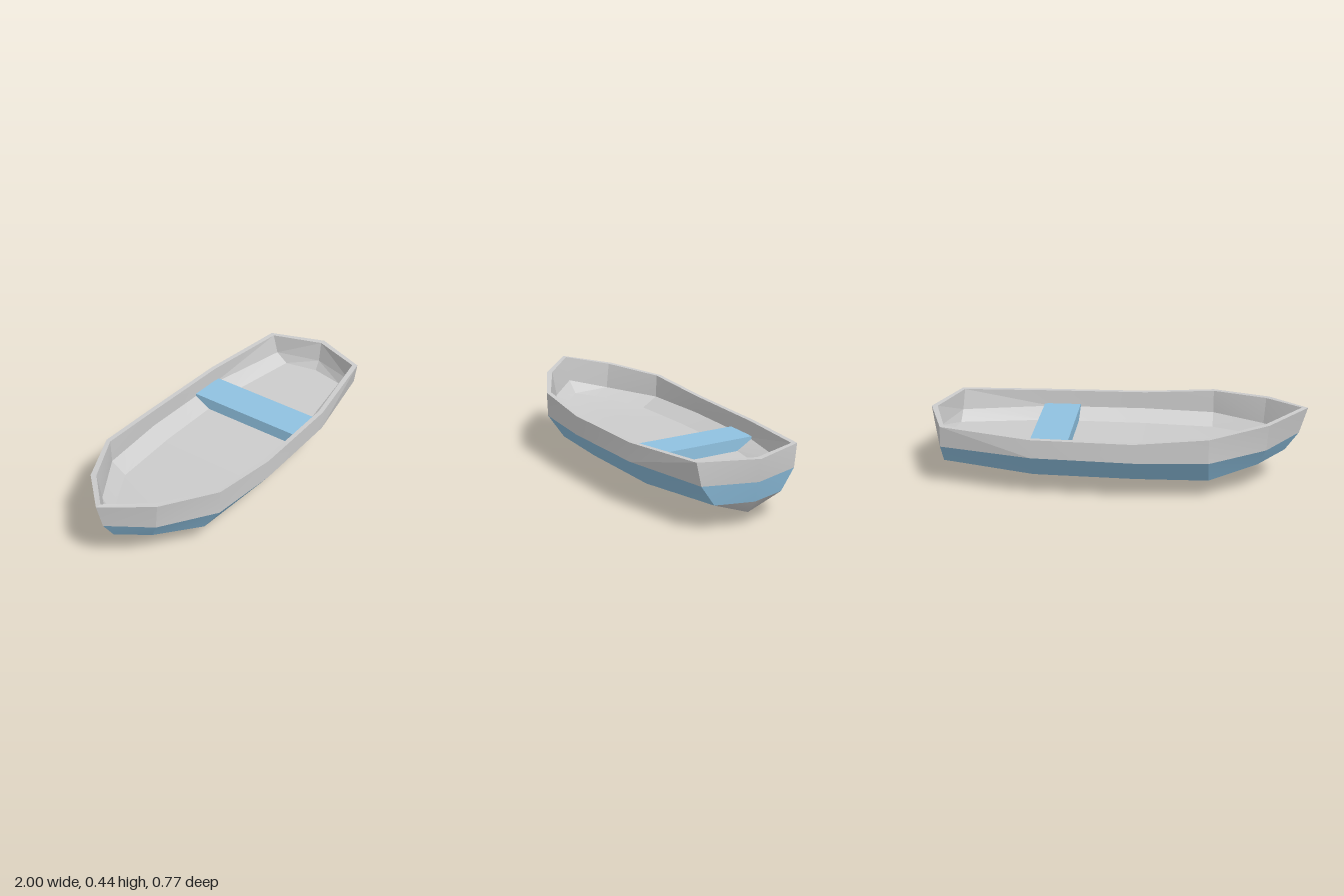
import * as THREE from 'three';
import { toCreasedNormals } from 'three/addons/utils/BufferGeometryUtils.js';

const grey = new THREE.MeshStandardMaterial({ color: 0xcccccc });
const blue = new THREE.MeshStandardMaterial({ color: 0x8fc1e0 });

// Half cross-sections from bow to stern; each is keel, chine, waterline, rim as [x, y, z]
const KEEL = 0, CHINE = 1, WATERLINE = 2, RIM = 3;
const outer = [
  [[-0.75, 0.11, 0], [-0.89, 0.2, 0], [-0.96, 0.3, 0], [-1, 0.44, 0]],
  [[-0.75, 0.11, 0], [-0.75, 0.165, 0.13], [-0.79, 0.27, 0.19], [-0.8, 0.415, 0.21]],
  [[-0.5, 0.035, 0], [-0.5, 0.12, 0.265], [-0.5, 0.255, 0.36], [-0.5, 0.387, 0.365]],
  [[-0.12, 0, 0], [-0.12, 0.12, 0.283], [-0.12, 0.252, 0.387], [-0.12, 0.355, 0.387]],
  [[0.41, 0.013, 0], [0.41, 0.12, 0.275], [0.41, 0.252, 0.372], [0.41, 0.352, 0.372]],
  [[0.9, 0.073, 0], [0.9, 0.144, 0.195], [0.9, 0.252, 0.27], [0.89, 0.372, 0.292]],
  [[0.9, 0.073, 0], [0.955, 0.144, 0], [0.985, 0.252, 0], [1, 0.372, 0]],
];

// Inner skin: walls drawn in by the planking thickness above a level floor that rises at the bow
const floorHeight = (x) => 0.21 + 0.1 * Math.max(0, -0.5 - x);
const inner = outer.map((section) => section.map(([x, y, z], level) => {
  const inset = Math.abs(x) < 0.7 ? 0 : z === 0 ? 0.032 : 0.015;
  const innerX = x - Math.sign(x) * inset;
  const innerY = level <= CHINE ? floorHeight(innerX) : level === WATERLINE ? y + 0.008 : y;
  return [innerX, innerY, Math.max(0, z - (level === CHINE ? 0.015 : 0.025))];
}));

// A strip of quads from the lower to the upper line, mirrored to both sides
function strip(name, material, lower, upper, { inward = false, crease = 0.15 } = {}) {
  const positions = [];
  const triangle = (...corners) => {
    const [a, b, c] = corners.map((p) => new THREE.Vector3(...p));
    if (b.clone().sub(a).cross(c.clone().sub(a)).length() < 1e-6) return;
    for (const side of [1, -1]) {
      const order = (side === 1) !== inward ? [a, b, c] : [a, c, b];
      for (const p of order) positions.push(p.x, p.y, p.z * side);
    }
  };
  for (let i = 0; i < lower.length - 1; i++) {
    triangle(lower[i], lower[i + 1], upper[i + 1]);
    triangle(lower[i], upper[i + 1], upper[i]);
  }
  const geometry = new THREE.BufferGeometry();
  geometry.setAttribute('position', new THREE.Float32BufferAttribute(positions, 3));
  const mesh = new THREE.Mesh(toCreasedNormals(geometry, crease), material);
  mesh.name = name;
  return mesh;
}

const line = (skin, level) => skin.map((section) => section[level]);

// Seat plank whose ends taper down along the inside of the hull to the floor
function makeBench() {
  const top = 0.275, bottom = 0.205, width = 0.2;
  const shape = new THREE.Shape([
    new THREE.Vector2(-0.355, top), new THREE.Vector2(-0.355, 0.258),
    new THREE.Vector2(-0.25, bottom), new THREE.Vector2(0.25, bottom),
    new THREE.Vector2(0.355, 0.258), new THREE.Vector2(0.355, top),
  ]);
  const geometry = new THREE.ExtrudeGeometry(shape, { depth: width, bevelEnabled: false });
  geometry.rotateY(Math.PI / 2).translate(0.24, 0, 0);
  const bench = new THREE.Mesh(geometry, blue);
  bench.name = 'bench';
  return bench;
}

export function createModel() {
  const boat = new THREE.Group();
  boat.name = 'rowingBoat';
  boat.add(
    // Outside planking, the bottom shaded smoothly across the keel
    strip('hullBottom', grey, line(outer, KEEL), line(outer, CHINE), { crease: 0.87 }),
    strip('hullStripe', blue, line(outer, CHINE), line(outer, WATERLINE)),
    strip('hullTopside', grey, line(outer, WATERLINE), line(outer, RIM)),
    // Gunwale joining both skins
    strip('gunwale', grey, line(outer, RIM), line(inner, RIM)),
    // Inside planking
    strip('innerWall', grey, line(inner, WATERLINE), line(inner, RIM), { inward: true }),
    strip('innerBilge', grey, line(inner, CHINE), line(inner, WATERLINE), { inward: true }),
    strip('floor', grey, line(inner, KEEL), line(inner, CHINE), { inward: true }),
    makeBench(),
  );
  return boat;
}
